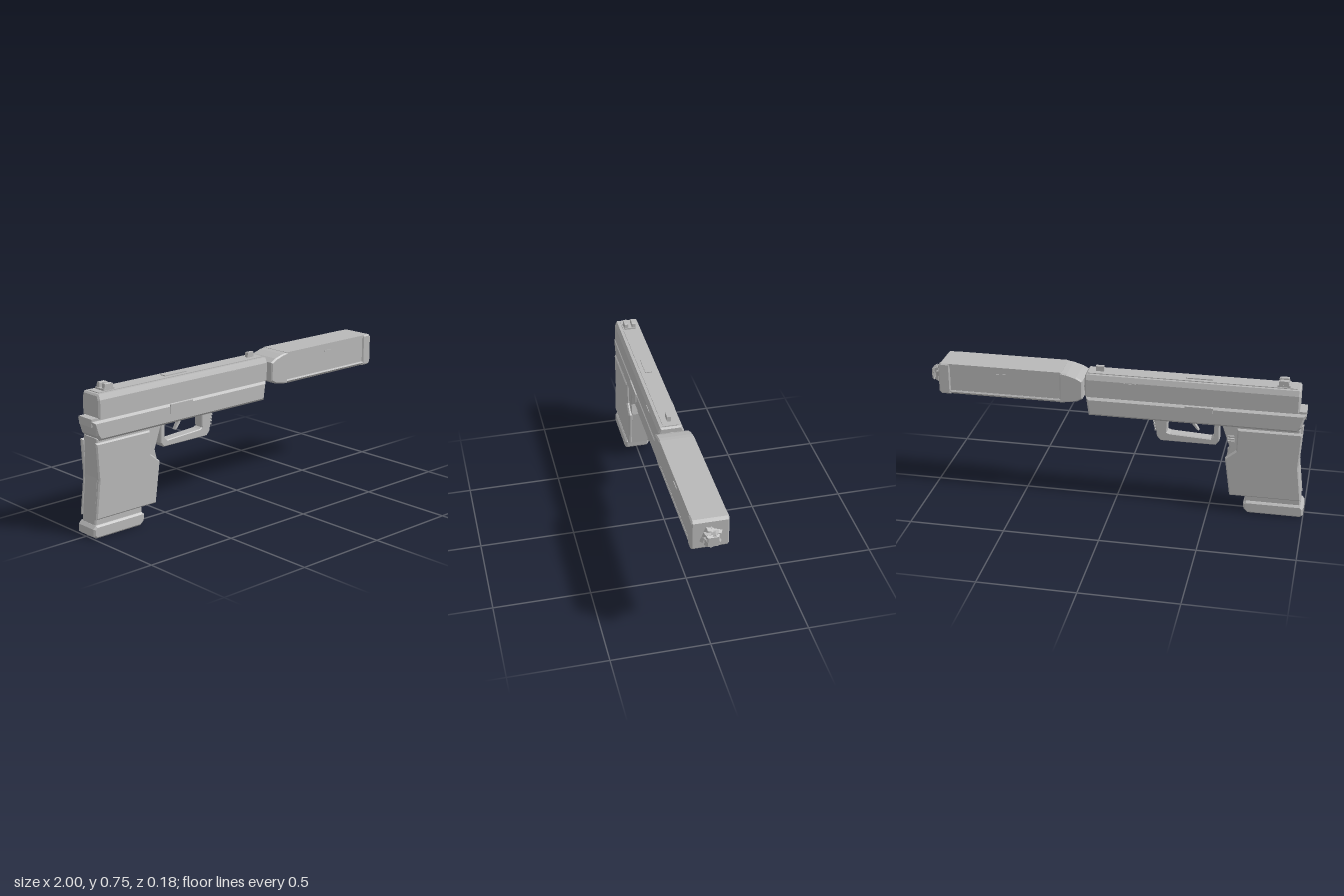
import * as THREE from 'three';

export function createModel() {
  const root = new THREE.Group();
  const grey = new THREE.MeshStandardMaterial({ color: 0xb8b8b8 });
  grey.name = 'plain grey';

  const add = (name, geometry) => {
    const mesh = new THREE.Mesh(geometry, grey);
    mesh.name = name;
    root.add(mesh);
    return mesh;
  };
  // Box given by its limits on each axis
  const box = (name, x0, x1, y0, y1, z0, z1) =>
    add(name, new THREE.BoxGeometry(x1 - x0, y1 - y0, z1 - z0)
      .translate((x0 + x1) / 2, (y0 + y1) / 2, (z0 + z1) / 2));
  const outline = pts => new THREE.Shape(pts.map(p => new THREE.Vector2(p[0], p[1])));
  // Chamfered plate: side profile (x, y) spanning z0..z1
  const plate = (name, pts, z0, z1, bevel = 0.008, hole = null) => {
    const shape = outline(pts);
    if (hole) shape.holes.push(new THREE.Path(hole.map(p => new THREE.Vector2(p[0], p[1]))));
    const g = new THREE.ExtrudeGeometry(shape, {
      depth: z1 - z0 - 2 * bevel, bevelEnabled: bevel > 0, bevelSegments: 1,
      bevelSize: bevel, bevelThickness: bevel, bevelOffset: -bevel,
    });
    return add(name, g.translate(0, 0, z0 + bevel));
  };
  // Long bar: half of a symmetric cross-section (z, y) swept from x0 to x1
  const bar = (name, half, x0, x1, bevel) => {
    const pts = [...half, ...half.map(p => [-p[0], p[1]]).reverse()];
    const g = new THREE.ExtrudeGeometry(outline(pts), {
      depth: x1 - x0 - 2 * bevel, bevelEnabled: true, bevelSegments: 1,
      bevelSize: bevel, bevelThickness: bevel, bevelOffset: -bevel,
    });
    return add(name, g.translate(0, 0, x0 + bevel).rotateY(Math.PI / 2));
  };

  // Slide, top rib and the narrow rail below it
  bar('slide', [[0.067, 0.596], [0.067, 0.69], [0.056, 0.717]], -0.95, 0.162, 0.008);
  box('topRib', -0.93, 0.15, 0.714, 0.721, -0.04, 0.04);
  box('topPort', -0.5, -0.36, 0.72, 0.726, -0.018, 0.018);
  box('rail', -0.94, 0.14, 0.57, 0.61, -0.052, 0.052);

  // Sights
  box('rearSightBase', -0.895, -0.83, 0.718, 0.73, -0.033, 0.033);
  for (const s of [-1, 1]) {
    plate('rearSightPost', [[-0.89, 0.725], [-0.835, 0.725], [-0.835, 0.75], [-0.845, 0.754], [-0.885, 0.754]],
      s * 0.021 - 0.011, s * 0.021 + 0.011, 0.002);
  }
  box('frontSight', 0.07, 0.113, 0.718, 0.748, -0.01, 0.01);

  // Frame
  plate('frame', [[-0.985, 0.588], [0.157, 0.588], [0.143, 0.488], [-0.945, 0.488], [-0.965, 0.515]],
    -0.067, 0.067, 0.012);
  box('rearTang', -0.985, -0.93, 0.56, 0.6, -0.05, 0.05);

  // Grip core, side panels and base
  plate('gripCore', [[-0.96, 0.5], [-0.555, 0.5], [-0.6, 0.37], [-0.585, 0.31], [-0.615, 0.096],
    [-0.69, 0.096], [-0.69, 0.05], [-0.985, 0.05], [-0.96, 0.3]], -0.053, 0.053, 0.006);
  const panel = [[-0.973, 0.48], [-0.64, 0.48], [-0.637, 0.357], [-0.58, 0.31], [-0.61, 0.095],
    [-0.985, 0.095], [-0.962, 0.29]];
  for (const s of [-1, 1]) {
    const inner = s * 0.045, outer = s * 0.068;
    plate('gripPanel', panel, Math.min(inner, outer), Math.max(inner, outer), 0.007);
    // Flat details on the sides
    box('sidePlate', -0.51, -0.365, 0.54, 0.588, s * 0.068 - 0.004, s * 0.068 + 0.004);
    box('slideMark', -0.11, -0.045, 0.68, 0.687, s * 0.067 - 0.003, s * 0.067 + 0.003);
    box('suppressorMark', 0.57, 0.63, 0.684, 0.692, s * 0.085 - 0.003, s * 0.085 + 0.003);
  }
  plate('gripBase', [[-1, 0.05], [-1, 0.012], [-0.985, 0], [-0.71, 0], [-0.688, 0.02],
    [-0.685, 0.055], [-0.7, 0.066], [-0.985, 0.066]], -0.068, 0.068, 0.009);
  for (let i = 0; i < 3; i++) {
    box('releaseRidge', -0.625, -0.59, 0.4 + i * 0.014, 0.409 + i * 0.014, -0.063, -0.045);
  }

  // Trigger guard with ridged front, and trigger
  plate('triggerGuard', [[-0.543, 0.5], [-0.543, 0.385], [-0.525, 0.362], [-0.235, 0.362], [-0.215, 0.385], [-0.2, 0.5]],
    -0.029, 0.029, 0.004,
    [[-0.515, 0.487], [-0.27, 0.487], [-0.268, 0.412], [-0.285, 0.405], [-0.5, 0.394], [-0.515, 0.41]]);
  for (let i = 0; i < 4; i++) {
    const y = 0.415 + i * 0.016, x = -0.214 + i * 0.003;
    box('guardRidge', x - 0.02, x + 0.012, y, y + 0.009, -0.026, 0.026);
  }
  plate('trigger', [[-0.42, 0.5], [-0.39, 0.5], [-0.4, 0.46], [-0.425, 0.43], [-0.435, 0.43], [-0.415, 0.465]],
    -0.012, 0.012, 0.002);

  // Suppressor: recessed core, top and bottom covers, tapered neck and end block
  add('barrel', new THREE.CylinderGeometry(0.045, 0.045, 0.08, 8).rotateZ(Math.PI / 2).translate(0.16, 0.645, 0));
  plate('suppressorCore', [[0.27, 0.565], [0.9, 0.565], [0.9, 0.722], [0.27, 0.722]], -0.085, 0.085, 0.002);
  plate('suppressorNeck', [[0.168, 0.59], [0.2, 0.572], [0.29, 0.558], [0.29, 0.729], [0.25, 0.723], [0.2, 0.708], [0.168, 0.69]],
    -0.091, 0.091, 0.007);
  box('suppressorTop', 0.28, 0.89, 0.716, 0.729, -0.088, 0.088);
  bar('suppressorBottom', [[0.078, 0.558], [0.091, 0.572], [0.086, 0.58]], 0.28, 0.89, 0.001);
  plate('suppressorEnd', [[0.88, 0.558], [0.93, 0.558], [0.943, 0.572], [0.943, 0.715], [0.93, 0.729], [0.88, 0.729]],
    -0.092, 0.092, 0.007);

  // Faceted tip of twisted square slabs
  for (let i = 0; i < 4; i++) {
    const r = 0.06 - Math.abs(i - 1) * 0.007;
    const slab = new THREE.CylinderGeometry(r * 0.82, r, 0.02, 4).toNonIndexed();
    slab.computeVertexNormals();
    slab.rotateY(i * 0.42).rotateZ(-Math.PI / 2).translate(0.948 + i * 0.0125, 0.641, 0);
    add('muzzleTip', slab);
  }
  const cap = new THREE.CylinderGeometry(0.036, 0.046, 0.012, 4).toNonIndexed();
  cap.computeVertexNormals();
  add('muzzleCap', cap.rotateY(Math.PI / 4).rotateZ(-Math.PI / 2).translate(0.994, 0.641, 0));

  return root;
}
